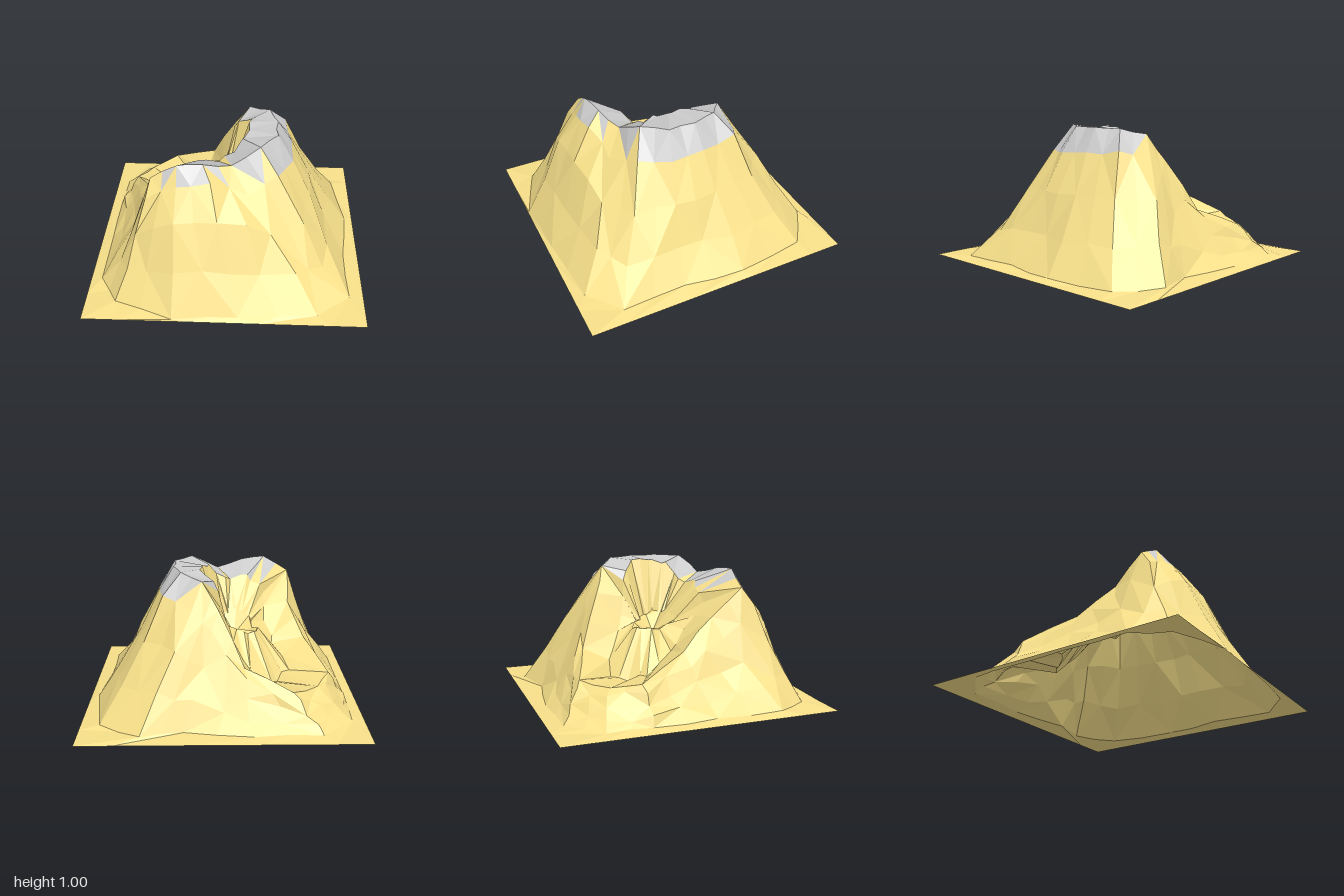
import * as THREE from 'three';

// Sixteen directions around the crater, starting at +x and turning towards +z.
const CENTRE = [-0.09, -0.06, 0.47];

// Rim of the crater and ridge around the breach: x, z, height
const RIM = [
  [0.36, -0.08, 1.0], [0.35, 0.12, 1.0], [0.24, 0.28, 1.0], [0.04, 0.36, 0.89],
  [-0.17, 0.43, 0.95], [-0.35, 0.46, 0.95], [-0.53, 0.46, 0.85], [-0.52, 0.22, 0.65],
  [-0.62, -0.03, 0.44], [-0.76, -0.38, 0.28], [-0.66, -0.58, 0.24], [-0.48, -0.74, 0.26],
  [-0.15, -0.62, 0.41], [0.03, -0.46, 0.76], [0.14, -0.38, 0.95], [0.3, -0.26, 1.0],
];

// Foot of the slopes: x, z
const FOOT = [
  [0.94, -0.2], [0.88, 0.25], [0.89, 0.72], [0.66, 0.92],
  [0.1, 0.96], [-0.36, 0.99], [-0.78, 0.83], [-0.92, 0.6],
  [-0.91, 0.1], [-0.92, -0.35], [-0.9, -0.68], [-0.68, -0.9],
  [-0.2, -0.92], [0.28, -0.84], [0.57, -0.92], [0.86, -0.72],
];

// Edge of the square base: x, z
const EDGE = [
  [1, 0], [1, 0.5], [1, 1], [0.5, 1], [0, 1], [-0.5, 1], [-1, 1], [-1, 0.5],
  [-1, 0], [-1, -0.5], [-1, -1], [-0.5, -1], [0, -1], [0.5, -1], [1, -1], [1, -0.5],
];

// Heights inside the rim: crater wall and inner lip
const WALL = [0.58, 0.6, 0.62, 0.62, 0.62, 0.6, 0.56, 0.54, 0.53, 0.53, 0.53, 0.54, 0.55, 0.56, 0.56, 0.58];
const LIP = [0.98, 0.98, 0.95, 0.84, 0.86, 0.83, 0.7, 0.53, 0.37, 0.25, 0.2, 0.23, 0.36, 0.62, 0.85, 0.97];

// Outer slope heights as a share of the rim, at 20%, 45% and 72% of the way out
const SLOPE = [
  [0.84, 0.55, 0.25], [0.83, 0.54, 0.24], [0.8, 0.5, 0.22], [0.82, 0.58, 0.28],
  [0.89, 0.68, 0.32], [0.89, 0.68, 0.32], [0.84, 0.56, 0.28], [0.8, 0.55, 0.28],
  [0.78, 0.52, 0.26], [0.8, 0.54, 0.3], [0.85, 0.6, 0.32], [0.82, 0.56, 0.28],
  [0.82, 0.54, 0.25], [0.82, 0.54, 0.27], [0.84, 0.57, 0.28], [0.84, 0.56, 0.26],
];

let seed;
function jitter(size) {
  seed = (seed * 16807) % 2147483647;
  return (seed / 2147483647 - 0.5) * 2 * size;
}

const mix = (a, b, t) => a + (b - a) * t;

// Value of a closed list at a fractional direction
function sample(list, u) {
  const i = Math.floor(u) % 16, j = (i + 1) % 16, f = u - Math.floor(u);
  return Array.isArray(list[0])
    ? list[i].map((v, n) => mix(v, list[j][n], f))
    : mix(list[i], list[j], f);
}

// One section running from the crater wall out to the base edge
function section(u) {
  const [rx, rz, rh] = sample(RIM, u);
  const [fx, fz] = sample(FOOT, u);
  const [ex, ez] = sample(EDGE, u);
  const slope = sample(SLOPE, u);
  const points = [];
  const add = (x, y, z, rough) => points.push(new THREE.Vector3(
    x + jitter(rough), Math.min(1, Math.max(0, y + jitter(rough))), z + jitter(rough)));

  // Crater wall, lip and rim
  for (const [t, y, rough] of [[0.27, sample(WALL, u), 0.015], [0.57, sample(LIP, u), 0.022], [1, rh, 0.01]]) {
    add(mix(CENTRE[0], rx, t), y, mix(CENTRE[1], rz, t), rough);
  }
  // Outer slope
  [0.2, 0.45, 0.72].forEach((t, n) => add(mix(rx, fx, t), rh * slope[n], mix(rz, fz, t), 0.02));
  // Foot and flat border
  add(fx, 0.025, fz, 0.008);
  add(ex, 0.004, ez, 0);
  return points;
}

function facetedMesh(name, color, positions) {
  const geometry = new THREE.BufferGeometry();
  geometry.setAttribute('position', new THREE.Float32BufferAttribute(positions, 3));
  geometry.computeVertexNormals();
  const mesh = new THREE.Mesh(geometry, new THREE.MeshStandardMaterial({
    color, flatShading: true, side: THREE.DoubleSide,
  }));
  mesh.name = name;
  return mesh;
}

export function createModel() {
  seed = 11;
  const count = 32;
  const sections = [];
  for (let k = 0; k < count; k++) sections.push(section(k / 2));

  // Sort the facets into sandy slopes and the bare grey summit
  const sand = [], rock = [];
  const face = (a, b, c) => {
    const target = (a.y + b.y + c.y) / 3 > 0.865 ? rock : sand;
    for (const p of [a, b, c]) target.push(p.x, p.y, p.z);
  };

  // Crater floor, fanned over every fourth section
  const floor = new THREE.Vector3(CENTRE[0], CENTRE[2], CENTRE[1]);
  for (let k = 0; k < count; k += 4) {
    const ring = [0, 1, 2, 3, 4].map((n) => sections[(k + n) % count][0]);
    face(floor, ring[4], ring[0]);
    face(ring[0], ring[4], ring[2]);
    face(ring[0], ring[2], ring[1]);
    face(ring[2], ring[4], ring[3]);
  }

  // Crater sides, slopes and border, with alternating diagonals
  for (let k = 0; k < count; k++) {
    const s = sections[k], n = sections[(k + 1) % count];
    for (let i = 0; i < s.length - 1; i++) {
      if ((i + k) % 2) {
        face(s[i], n[i], s[i + 1]);
        face(n[i], n[i + 1], s[i + 1]);
      } else {
        face(s[i], n[i], n[i + 1]);
        face(s[i], n[i + 1], s[i + 1]);
      }
    }
  }

  const group = new THREE.Group();
  group.name = 'crateredMountain';
  group.add(facetedMesh('sandySlopes', 0xf7e08a, sand));
  group.add(facetedMesh('summitRock', 0xcccccc, rock));
  return group;
}
